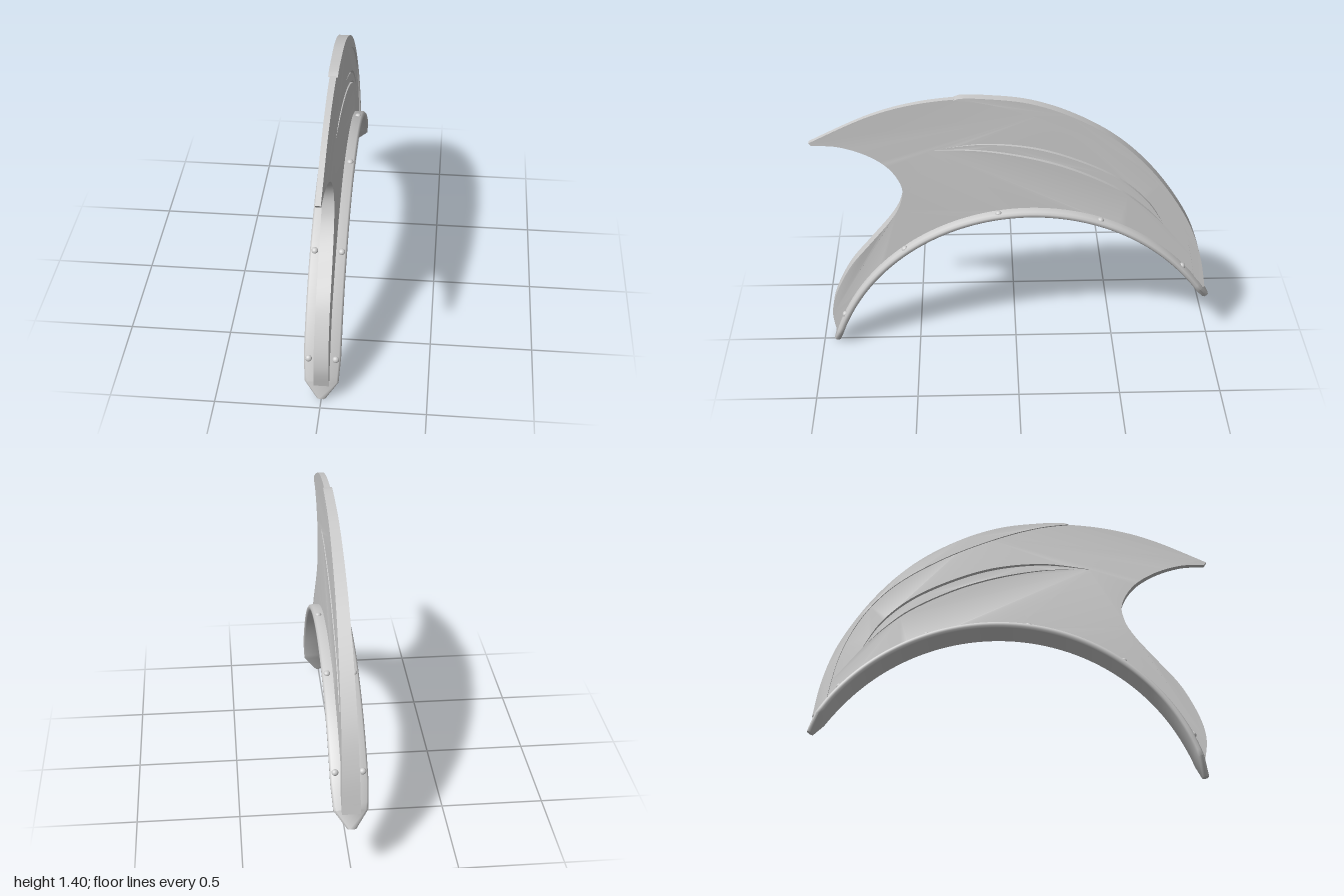
import * as THREE from 'three';
import { toCreasedNormals } from 'three/addons/utils/BufferGeometryUtils.js';

const DEG = Math.PI / 180;
// Centre of the base arc in the side plane (z, y) and its outer radius
const CZ = -0.07, CY = -0.25, R = 1.05;
const material = new THREE.MeshStandardMaterial({ color: 0xcccccc, side: THREE.DoubleSide });

const onArc = (deg, r) => new THREE.Vector2(CZ + r * Math.cos(deg * DEG), CY + r * Math.sin(deg * DEG));
const spline = (points, n) =>
  new THREE.SplineCurve(points.map(p => new THREE.Vector2(...p))).getPoints(n);
const radius = (z, y) => Math.hypot(z - CZ, y - CY);

function add(group, name, geometry) {
  const mesh = new THREE.Mesh(geometry, material);
  mesh.name = name;
  group.add(mesh);
  return mesh;
}

// Plate drawn in the side plane; it gets thinner away from the base arc
function plate(outline, extra, hole) {
  const shape = new THREE.Shape(outline);
  if (hole) shape.holes.push(new THREE.Path(hole));
  const g = new THREE.ExtrudeGeometry(shape, { depth: 2, bevelEnabled: false, steps: 1 });
  g.translate(0, 0, -1).rotateY(-Math.PI / 2);
  const p = g.attributes.position;
  for (let i = 0; i < p.count; i++) {
    const half = 0.037 - 0.034 * (radius(p.getZ(i), p.getY(i)) - R) + extra;
    p.setX(i, Math.sign(p.getX(i)) * half);
  }
  return toCreasedNormals(g, 0.5);
}

// Curved base strap: chamfered section swept along the arc, with tapered ends
function strapGeometry() {
  const a0 = 14.2, a1 = 151.6, taper = 4.8, n = 72;
  const angles = [a0];
  for (let i = 0; i <= n; i++) angles.push(a0 + taper + (a1 - a0 - 2 * taper) * i / n);
  angles.push(a1);
  const pos = [], index = [], c = 0.009, inner = R - 0.031;
  for (const a of angles) {
    const d = Math.min(a - a0, a1 - a);
    const w = d < taper ? 0.02 + 0.06 * d / taper : 0.08 + 0.008 * Math.min(1, (d - taper) / 7);
    const section = [
      [w - c, inner], [w, inner + c], [w, R - c], [w - c, R],
      [c - w, R], [-w, R - c], [-w, inner + c], [c - w, inner]];
    for (const [x, r] of section) {
      const v = onArc(a, r);
      pos.push(x, v.y, v.x);
    }
  }
  const last = (angles.length - 1) * 8;
  for (let i = 0; i < last; i += 8) {
    for (let j = 0; j < 8; j++) {
      const k = (j + 1) % 8;
      index.push(i + j, i + 8 + j, i + k, i + k, i + 8 + j, i + 8 + k);
    }
  }
  for (let j = 1; j < 7; j++) index.push(0, j, j + 1, last, last + j + 1, last + j);
  const g = new THREE.BufferGeometry();
  g.setAttribute('position', new THREE.Float32BufferAttribute(pos, 3));
  g.setIndex(index);
  return toCreasedNormals(g, 0.9);
}

export function createModel() {
  const model = new THREE.Group();
  model.name = 'crestFin';

  add(model, 'baseStrap', strapGeometry());

  // Fin outline: crest from the tip to the back, base arc, then the hooked front edge
  const crest = spline([[1, 1.165], [0.73, 1.294], [0.516, 1.36], [0.3, 1.39], [0.14, 1.388],
    [-0.07, 1.36], [-0.286, 1.28], [-0.5, 1.148], [-0.687, 0.96], [-0.845, 0.72],
    [-0.925, 0.508], [-0.962, 0.31]], 66);
  const base = [];
  for (let a = 147.5; a > 18; a -= 2.5) base.push(onArc(a, R - 0.012));
  const front = spline([[0.93, 0.075], [0.944, 0.187], [0.917, 0.305], [0.837, 0.465], [0.73, 0.6],
    [0.623, 0.733], [0.57, 0.83], [0.562, 0.925], [0.623, 1.027], [0.73, 1.1],
    [0.864, 1.144], [0.988, 1.15]], 60);

  // Crescent slot and the slimmer crescent blade set inside it
  const slotTop = spline([[0.4, 1.123], [0.17, 1.155], [-0.07, 1.136], [-0.286, 1.07],
    [-0.5, 0.963], [-0.65, 0.83], [-0.74, 0.685]], 40);
  const slotLow = spline([[-0.74, 0.685], [-0.634, 0.79], [-0.5, 0.893], [-0.286, 1.0],
    [-0.07, 1.07], [0.17, 1.114], [0.4, 1.123]], 40);
  const slot = [...slotTop.slice(0, -1), ...slotLow.slice(0, -1)];
  add(model, 'fin', plate([...crest, ...base, ...front], 0, slot));

  const mix = t => slotTop.map((p, i) => p.clone().lerp(slotLow[40 - i], t));
  const blade = [...mix(0.17).slice(0, -1), ...mix(0.86).reverse().slice(0, -1)];
  add(model, 'slotBlade', plate(blade, -0.003));

  // Raised trim along the crest and back edge
  const trimOuter = crest.filter(p => p.x < 0.3).map(p => {
    const k = 1 + 0.006 / radius(p.x, p.y);
    return new THREE.Vector2(CZ + (p.x - CZ) * k, CY + (p.y - CY) * k);
  });
  const trimInner = spline([[-0.908, 0.375], [-0.85, 0.64], [-0.74, 0.866], [-0.58, 1.04],
    [-0.34, 1.19], [-0.07, 1.305], [0.14, 1.367], [0.3, 1.388]], 44);
  add(model, 'crestTrim', plate([...trimOuter, ...trimInner], 0.007));

  // Domed rivets in pairs along the strap
  const dome = new THREE.SphereGeometry(0.016, 16, 8, 0, Math.PI * 2, 0, Math.PI / 2);
  dome.scale(1, 0.8, 1);
  for (const a of [25.3, 53.2, 81.3, 109.4, 137.3]) {
    for (const side of [-1, 1]) {
      const rivet = add(model, 'rivet', dome);
      const v = onArc(a, R - 0.001);
      rivet.position.set(side * 0.064, v.y, v.x);
      rivet.rotation.x = (90 - a) * DEG;
    }
  }
  return model;
}
